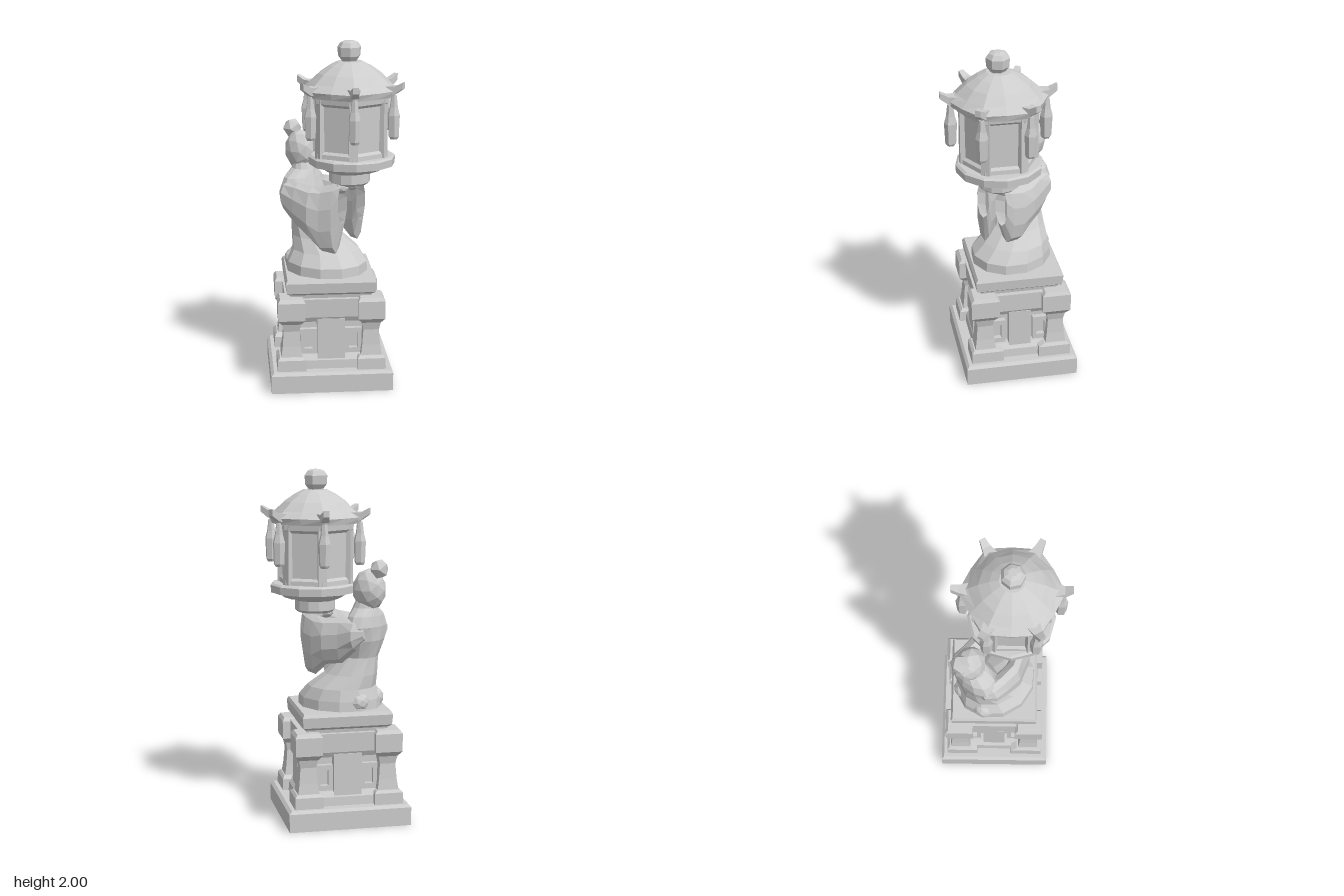
import * as THREE from 'three';

const stone = new THREE.MeshStandardMaterial({ color: 0xcccccc, flatShading: true });
stone.name = 'stone';

// Closed loft along y. Section: [y, centreX, centreZ, radiusX, radiusZ, scale of odd corners]
function loft(sections, n, phase = 0) {
  const pos = [], idx = [], k = n === 4 ? Math.SQRT2 : 1;
  for (const [y, cx, cz, rx, rz = rx, odd = 1] of sections) {
    for (let j = 0; j < n; j++) {
      const a = phase + (j / n) * Math.PI * 2, s = k * (j % 2 ? odd : 1);
      pos.push(cx + Math.sin(a) * rx * s, y, cz + Math.cos(a) * rz * s);
    }
  }
  const m = sections.length;
  for (let i = 0; i < m - 1; i++) {
    for (let j = 0; j < n; j++) {
      const a = i * n + j, b = i * n + (j + 1) % n;
      idx.push(a, b, b + n, a, b + n, a + n);
    }
  }
  const first = sections[0], last = sections[m - 1];
  pos.push(first[1], first[0], first[2], last[1], last[0], last[2]);
  for (let j = 0; j < n; j++) {
    const j2 = (j + 1) % n, top = (m - 1) * n;
    idx.push(m * n, j2, j, m * n + 1, top + j, top + j2);
  }
  // cap centres: x, y, z of the first and last section
  for (const [i, s] of [[m * n, first], [m * n + 1, last]]) pos.splice(i * 3, 3, s[1], s[0], s[2]);
  const g = new THREE.BufferGeometry();
  g.setAttribute('position', new THREE.Float32BufferAttribute(pos, 3));
  g.setIndex(idx);
  const flat = g.toNonIndexed();
  flat.computeVertexNormals();
  return flat;
}
const square = (sections) => loft(sections, 4, Math.PI / 4);

function add(parent, name, geometry, x = 0, y = 0, z = 0) {
  const mesh = new THREE.Mesh(geometry, stone);
  mesh.name = name;
  mesh.position.set(x, y, z);
  parent.add(mesh);
  return mesh;
}
const box = (parent, name, w, h, d, x, y, z) => add(parent, name, new THREE.BoxGeometry(w, h, d), x, y, z);
function blob(parent, name, x, y, z, rx, ry, rz, detail = 1) {
  const mesh = add(parent, name, new THREE.IcosahedronGeometry(1, detail), x, y, z);
  mesh.scale.set(rx, ry, rz);
  return mesh;
}

function createPedestal() {
  const g = new THREE.Group();
  g.name = 'pedestal';
  g.position.set(-0.03, 0, -0.043);

  // plinth with a shallow hollow underneath
  add(g, 'plinth', square([
    [0.05, 0, 0, 0.30, 0.28], [0, 0, 0, 0.325, 0.305], [0, 0, 0, 0.35, 0.33],
    [0.105, 0, 0, 0.352, 0.33], [0.12, 0, 0, 0.335, 0.315]]));
  add(g, 'lowerBand', square([[0.11, 0, 0, 0.28, 0.26], [0.17, 0, 0, 0.275, 0.255], [0.2, 0, 0, 0.25, 0.235]]));
  box(g, 'core', 0.41, 0.4, 0.38, 0, 0.34, 0);
  add(g, 'upperBody', square([[0.4, 0, 0, 0.245, 0.235], [0.43, 0, 0, 0.262, 0.25], [0.54, 0, 0, 0.262, 0.255]]));
  box(g, 'frontBackPier', 0.16, 0.3, 0.5, 0, 0.27, 0);
  box(g, 'sidePier', 0.52, 0.3, 0.13, 0, 0.27, 0);

  // corner feet, curved pillars and capitals
  for (const sx of [-1, 1]) for (const sz of [-1, 1]) {
    const x = sx * 0.23, z = sz * 0.21;
    add(g, 'cornerFoot', square([
      [0.11, x, z - sz * 0.01, 0.083, 0.095], [0.185, x, z - sz * 0.01, 0.081, 0.093], [0.2, x, z, 0.068]]));
    add(g, 'cornerPillar', square([
      [0.19, x, z, 0.062], [0.26, x, z, 0.052], [0.35, x, z, 0.045], [0.41, x, z, 0.058]]));
    add(g, 'cornerCapital', square([
      [0.395, x, z, 0.055], [0.425, x, z, 0.077, 0.082], [0.53, x, z, 0.078, 0.083], [0.55, x, z, 0.065]]));
  }

  // framed windows, two on each side
  const frame = new THREE.Shape([[-0.048, -0.075], [0.048, -0.075], [0.048, 0.075], [-0.048, 0.075]]
    .map(([x, y]) => new THREE.Vector2(x, y)));
  frame.holes.push(new THREE.Path([[-0.024, -0.045], [-0.024, 0.045], [0.024, 0.045], [0.024, -0.045]]
    .map(([x, y]) => new THREE.Vector2(x, y))));
  const frameGeo = new THREE.ExtrudeGeometry(frame, { depth: 0.035, bevelEnabled: false });
  for (let k = 0; k < 4; k++) {
    const side = new THREE.Group();
    side.name = 'windowSide';
    side.rotation.y = k * Math.PI / 2;
    for (const s of [-1, 1]) add(side, 'windowFrame', frameGeo, s * 0.13, 0.275, k % 2 ? 0.2 : 0.185);
    g.add(side);
  }

  add(g, 'slab', square([
    [0.53, 0, 0, 0.23, 0.225], [0.56, 0, 0, 0.235, 0.23], [0.575, 0, 0, 0.255, 0.25],
    [0.635, 0, 0, 0.26, 0.257], [0.655, 0, 0, 0.25, 0.245]]));
  return g;
}

function createFigure() {
  const g = new THREE.Group();
  g.name = 'kneelingFigure';
  g.rotation.y = Math.PI / 4;

  // robe from the folded legs up to the neck
  add(g, 'robe', loft([
    [0.64, 0, -0.055, 0.23, 0.25], [0.71, 0, -0.055, 0.225, 0.245], [0.775, 0.015, -0.075, 0.19, 0.2],
    [0.85, 0.005, -0.13, 0.145, 0.155], [0.95, -0.01, -0.18, 0.11, 0.105], [1.05, -0.015, -0.205, 0.145, 0.11],
    [1.13, -0.015, -0.22, 0.165, 0.1], [1.19, -0.01, -0.225, 0.135, 0.085], [1.235, 0, -0.225, 0.075, 0.07],
    [1.29, 0, -0.235, 0.055, 0.055]], 12));

  // head and hair bun
  blob(g, 'head', 0, 1.335, -0.25, 0.086, 0.12, 0.1);
  blob(g, 'hairBun', 0, 1.455, -0.315, 0.056, 0.06, 0.056, 0);

  for (const s of [-1, 1]) {
    // the right sleeve hangs lower and further back, the left shoulder is drawn in
    const left = s > 0, low = left ? 0.055 : 0, back = left ? 0 : -0.02, inset = left ? 0.04 : 0.005;
    // sections run forward from the shoulder: distance, sideways, height, half sizes
    const section = (v, u, bottom, top, w) => [v, s * u, -(bottom + top) / 2, w, (top - bottom) / 2];
    const sleeve = loft([
      section(-0.28, 0.12 - inset, 1.06, 1.14, 0.04), section(-0.23, 0.145 - inset, 1.0, 1.175, 0.062),
      section(-0.14, 0.15 - inset, 0.92, 1.18, 0.06), section(-0.04, 0.14 - inset / 2, 0.85 + low, 1.17, 0.062),
      section(0.04 + back, 0.11, 0.78 + low, 1.18, 0.055), section(0.11 + back, 0.085, 0.785 + low, 1.2, 0.053),
      section(0.145 + back, 0.07, 0.96, 1.2, 0.042), section(0.08 + back, 0.075, 0.92, 1.17, 0.024)], 10);
    sleeve.rotateX(Math.PI / 2);
    add(g, 'sleeve', sleeve);
    blob(g, 'hand', s * 0.055, 1.175, 0.09, 0.042, 0.04, 0.06);
    blob(g, 'foot', s * 0.08, 0.7, -0.235, 0.065, 0.06, 0.055);
  }
  return g;
}

function createLantern() {
  const g = new THREE.Group();
  g.name = 'lantern';
  g.position.set(0.088, 0, 0.055);

  const ring = (y, r, odd) => [y, 0, 0, r, r, odd];
  add(g, 'stem', loft([ring(1.185, 0.1), ring(1.2, 0.118), ring(1.255, 0.118), ring(1.27, 0.155), ring(1.29, 0.16)], 12));
  add(g, 'basePlate', loft([
    ring(1.27, 0.165), ring(1.3, 0.21), ring(1.302, 0.245), ring(1.345, 0.248), ring(1.355, 0.235)], 12), 0.012);
  add(g, 'lowerRim', loft([ring(1.34, 0.225), ring(1.38, 0.222), ring(1.395, 0.205)], 6));
  add(g, 'panels', loft([ring(1.35, 0.205), ring(1.7, 0.21)], 6));
  add(g, 'upperRim', loft([ring(1.645, 0.205), ring(1.665, 0.23), ring(1.715, 0.235)], 6));
  add(g, 'roof', loft([
    ring(1.695, 0.2), ring(1.7, 0.27, 0.92), ring(1.735, 0.285, 0.9), ring(1.77, 0.235, 0.95),
    ring(1.82, 0.18, 0.98), ring(1.86, 0.12), ring(1.885, 0.07)], 12));
  add(g, 'finial', loft([
    ring(1.87, 0.045), ring(1.89, 0.045), ring(1.915, 0.064), ring(1.965, 0.068), ring(1.99, 0.05), ring(2, 0.025)], 7), -0.004, 0, 0.003);

  // post, upturned eave tip and tassel at each of the six corners
  const tip = square([
    [0.2, 0, -1.735, 0.045, 0.025], [0.28, 0, -1.742, 0.024, 0.022], [0.325, 0, -1.77, 0.016, 0.018]]);
  tip.rotateX(Math.PI / 2);
  const tassel = loft([
    ring(1.465, 0.022), ring(1.48, 0.031), ring(1.6, 0.036), ring(1.645, 0.024), ring(1.71, 0.016)], 6);
  for (let k = 0; k < 6; k++) {
    const corner = new THREE.Group();
    corner.name = 'lanternCorner';
    corner.rotation.y = k * Math.PI / 3;
    box(corner, 'post', 0.05, 0.34, 0.035, 0, 1.52, 0.203);
    add(corner, 'eaveTip', tip);
    add(corner, 'tassel', tassel, 0, 0, 0.268);
    g.add(corner);
  }
  return g;
}

export function createModel() {
  const model = new THREE.Group();
  model.name = 'lanternStatue';
  model.add(createPedestal(), createFigure(), createLantern());
  return model;
}
